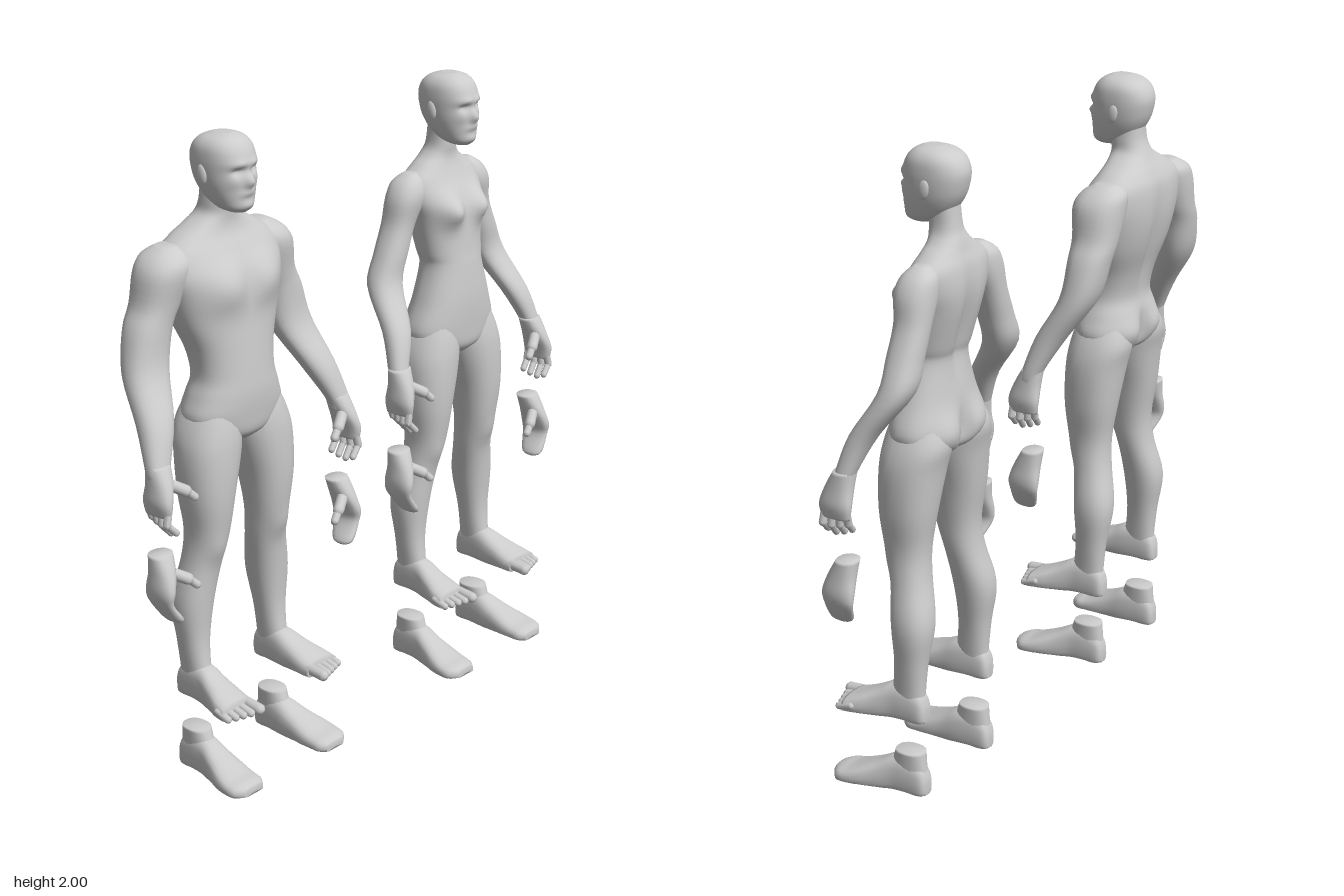
import * as THREE from 'three';

const material = new THREE.MeshStandardMaterial({ color: 0xcccccc });

// Catmull-Rom blend of one column of the section table
const blend = (a, b, c, d, t) =>
  0.5 * (2 * b + (c - a) * t + (2 * a - 5 * b + 4 * c - d) * t * t + (3 * b - a - 3 * c + d) * t * t * t);

// Swells [x, y, width, height, depth, side] raise the front (+1) or back (-1), on both halves
function swell(x, y, sin, swells) {
  let dz = 0;
  for (const [bx, by, sx, sy, h, side] of swells) {
    const w = Math.max(0, side * sin);
    dz += side * h * Math.sqrt(w) * Math.exp(-(((Math.abs(x) - bx) / sx) ** 2) - ((y - by) / sy) ** 2);
  }
  return dz;
}

// Skin over sections [axis, x0, x1, z0, z1], lowest first; lying lofts run along z
function loft(rows, { segs = 24, sub = 4, power = 2.3, swells = [], lying = false } = {}) {
  const pos = [], idx = [], last = rows.length - 1, rings = last * sub + 1;
  const put = (x, a, z) => (lying ? pos.push(x, Math.max(0, z), a) : pos.push(x, a, z));
  const round = (v) => Math.sign(v) * Math.abs(v) ** (2 / power);
  const centres = [];
  for (let j = 0; j < rings; j++) {
    const k = Math.min(Math.floor(j / sub), last - 1), t = j / sub - k;
    const at = (i) => rows[Math.min(last, Math.max(0, i))];
    const [a, x0, x1, z0, z1] = rows[0].map((_, c) => blend(at(k - 1)[c], at(k)[c], at(k + 1)[c], at(k + 2)[c], t));
    centres.push([(x0 + x1) / 2, a, (z0 + z1) / 2]);
    for (let i = 0; i < segs; i++) {
      const th = (i / segs) * Math.PI * 2, s = Math.sin(th);
      const x = (x0 + x1) / 2 + ((x1 - x0) / 2) * round(Math.cos(th));
      put(x, a, (z0 + z1) / 2 + ((z1 - z0) / 2) * round(s) + swell(x, a, s, swells));
    }
  }
  put(...centres[0]);
  put(...centres[rings - 1]);
  const tri = (a, b, c) => (lying ? idx.push(a, c, b) : idx.push(a, b, c));
  for (let i = 0; i < segs; i++) {
    const n = (i + 1) % segs, top = (rings - 1) * segs;
    for (let j = 0; j < rings - 1; j++) {
      const o = j * segs;
      tri(o + i, o + segs + i, o + n);
      tri(o + n, o + segs + i, o + segs + n);
    }
    tri(rings * segs, i, n);
    tri(rings * segs + 1, top + n, top + i);
  }
  const g = new THREE.BufferGeometry();
  g.setAttribute('position', new THREE.Float32BufferAttribute(pos, 3));
  g.setIndex(idx);
  g.computeVertexNormals();
  return g;
}

// Rounded rod between two points
function rod(a, b, r) {
  const p = new THREE.Vector3(...a), q = new THREE.Vector3(...b), d = q.clone().sub(p);
  const g = new THREE.CapsuleGeometry(r, d.length(), 4, 10);
  g.applyQuaternion(new THREE.Quaternion().setFromUnitVectors(new THREE.Vector3(0, 1, 0), d.normalize()));
  return g.translate(...p.add(q).multiplyScalar(0.5).toArray());
}

function mirrored(geo) {
  const g = geo.clone().scale(-1, 1, 1), ix = g.index;
  for (let i = 0; i < ix.count; i += 3) {
    const b = ix.getX(i + 1);
    ix.setX(i + 1, ix.getX(i + 2));
    ix.setX(i + 2, b);
  }
  g.computeVertexNormals();
  return g;
}

function add(group, name, geo) {
  const mesh = new THREE.Mesh(geo, material);
  mesh.name = name;
  group.add(mesh);
}
function addPair(group, name, geo) {
  add(group, 'left' + name, geo);
  add(group, 'right' + name, mirrored(geo));
}
const symmetric = (rows) => rows.map(([y, r, zb, zf]) => [y, -r, r, zb, zf]);

function addHead(group, w) {
  const skull = symmetric([
    [1.772, 0.025, -0.04, 0.025], [1.785, 0.048, -0.07, 0.038], [1.81, 0.063, -0.11, 0.042],
    [1.85, 0.076, -0.14, 0.043], [1.89, 0.082, -0.155, 0.042], [1.93, 0.083, -0.16, 0.042],
    [1.965, 0.077, -0.147, 0.028], [1.988, 0.058, -0.12, 0.005], [2.0, 0.025, -0.08, -0.025],
  ]);
  const face = [
    [0.03, 1.918, 0.03, 0.012, 0.008, 1], [0.033, 1.899, 0.017, 0.011, -0.014, 1],
    [0, 1.868, 0.013, 0.022, 0.026, 1], [0, 1.832, 0.025, 0.009, 0.007, 1],
    [0, 1.795, 0.026, 0.014, 0.006, 1], [0.045, 1.868, 0.02, 0.018, 0.005, 1],
  ];
  add(group, 'head', loft(skull, { segs: 48, sub: 6, swells: face }).scale(w, 1, 1));
  const ear = new THREE.SphereGeometry(1, 12, 8).scale(0.009, 0.03, 0.018).rotateX(-0.2);
  addPair(group, 'Ear', ear.translate(0.082 * w, 1.885, -0.065));
}

// Hands: palm, thumb, and either four fingers or one joined mitten
function addHand(group, dx, dy, mitten) {
  const name = mitten ? 'SpareHand' : 'Hand';
  const place = (g) => g.translate(dx, dy, 0);
  const rows = [
    [0.96, 0.397, 0.43, 0.005, 0.105], [1.0, 0.39, 0.438, 0.0, 0.11],
    [1.05, 0.368, 0.433, 0.003, 0.095], [1.105, 0.352, 0.428, 0.0, 0.066],
  ];
  if (mitten) rows.unshift([0.89, 0.365, 0.38, 0.05, 0.085], [0.905, 0.36, 0.4, 0.03, 0.108]);
  addPair(group, name + 'Palm', place(loft(rows, { segs: 16 })));
  addPair(group, name + 'ThumbBase', place(rod([0.385, 1.05, 0.065], [0.335, 1.02, 0.09], 0.018)));
  addPair(group, name + 'ThumbTip', place(rod([0.335, 1.02, 0.09], [0.308, 0.995, 0.098], 0.013)));
  if (mitten) return;
  [0.016, 0.006, 0, 0.008].forEach((short, i) => {
    const z = 0.016 + i * 0.026, knuckle = [0.412 + (i - 1.5) * 0.006, 0.935 + short / 2, z + 0.003];
    addPair(group, 'FingerBase' + i, place(rod([0.413, 0.975, z], knuckle, 0.0125)));
    addPair(group, 'FingerTip' + i, place(rod(knuckle, [0.378 + i * 0.004, 0.9 + short, z + 0.008], 0.0105)));
  });
}

// Feet: sole and instep, with either five toes or a joined toe cap
function addFoot(group, dy, joined) {
  const name = joined ? 'SpareFoot' : 'Foot';
  const place = (g) => g.translate(0, dy, 0);
  const rows = [
    [-0.115, 0.155, 0.19, 0.0, 0.045], [-0.1, 0.142, 0.205, -0.02, 0.09], [-0.05, 0.135, 0.212, -0.02, 0.115],
    [0, 0.13, 0.218, -0.02, 0.11], [0.05, 0.128, 0.234, -0.02, 0.085], [0.1, 0.125, 0.252, -0.02, 0.062],
    [0.145, 0.126, 0.26, -0.015, 0.044],
  ];
  if (joined) rows.push([0.18, 0.13, 0.255, -0.015, 0.036], [0.205, 0.15, 0.225, -0.01, 0.026]);
  addPair(group, name + 'Sole', place(loft(rows, { segs: 20, power: 2.6, lying: true })));
  if (joined) {
    const stump = [[0.04, 0.14, 0.207, -0.112, 0.03], [0.09, 0.138, 0.208, -0.107, 0.012], [0.14, 0.136, 0.21, -0.102, -0.005]];
    addPair(group, 'SpareFootAnkle', place(loft(stump, { segs: 20 })));
    return;
  }
  for (let i = 0; i < 5; i++) {
    const r = i ? 0.0135 - i * 0.0004 : 0.018, x = i ? 0.15 + i * 0.025 : 0.146;
    addPair(group, 'Toe' + i, place(rod([x, 0.024, 0.13 - i * 0.004], [x, r, 0.19 - i * 0.008], r)));
  }
}

const LEG = [
  [0.29, 0.14, 0.207, -0.108, 0.02], [0.335, 0.136, 0.208, -0.104, 0.004], [0.44, 0.125, 0.218, -0.112, -0.008],
  [0.57, 0.102, 0.23, -0.13, 0.0], [0.7, 0.079, 0.205, -0.105, 0.015], [0.8, 0.068, 0.196, -0.1, 0.042],
  [0.92, 0.048, 0.21, -0.118, 0.058], [1.05, 0.015, 0.211, -0.135, 0.06], [1.13, 0.008, 0.192, -0.15, 0.052],
  [1.2, 0.03, 0.155, -0.13, 0.035],
];

function figure(name, x, { torso, arm, swells, headWidth, handShift }) {
  const g = new THREE.Group();
  g.name = name;
  g.position.x = x;
  addHead(g, headWidth);
  add(g, 'torso', loft(symmetric(torso), { segs: 56, sub: 5, swells }));
  addPair(g, 'Arm', loft(arm));
  addPair(g, 'Leg', loft(LEG, { swells: [[0.14, 0.74, 0.035, 0.04, 0.01, 1]] }));
  addHand(g, handShift, 0, false);
  addHand(g, handShift, -0.28, true);
  addFoot(g, 0.25, false);
  addFoot(g, 0, true);
  return g;
}

export function createModel() {
  const model = new THREE.Group();
  model.name = 'figurePair';
  const back = [[0, 1.48, 0.025, 0.16, -0.02, -1], [0, 1.15, 0.02, 0.06, -0.03, -1], [0.085, 1.16, 0.06, 0.055, 0.018, -1]];
  // Broad figure
  model.add(figure('maleFigure', -0.505, {
    headWidth: 1, handShift: 0,
    torso: [
      [1.07, 0.03, -0.08, 0.02], [1.1, 0.13, -0.13, 0.05], [1.155, 0.178, -0.148, 0.06], [1.22, 0.16, -0.145, 0.065],
      [1.28, 0.14, -0.135, 0.062], [1.36, 0.15, -0.15, 0.055], [1.45, 0.185, -0.18, 0.047], [1.53, 0.208, -0.198, 0.044],
      [1.6, 0.225, -0.203, 0.03], [1.66, 0.215, -0.198, 0.0], [1.7, 0.165, -0.182, -0.022], [1.73, 0.11, -0.165, -0.03],
      [1.76, 0.065, -0.15, -0.03], [1.8, 0.056, -0.135, -0.026], [1.86, 0.052, -0.13, -0.03],
    ],
    arm: [
      [1.06, 0.362, 0.43, 0.008, 0.074], [1.1, 0.35, 0.43, 0.0, 0.066], [1.21, 0.292, 0.41, -0.06, 0.035],
      [1.34, 0.235, 0.385, -0.145, -0.03], [1.46, 0.205, 0.353, -0.172, -0.04], [1.53, 0.17, 0.318, -0.18, -0.035],
      [1.62, 0.13, 0.3, -0.185, -0.02], [1.665, 0.13, 0.268, -0.178, -0.038], [1.692, 0.16, 0.22, -0.14, -0.08],
    ],
    swells: [...back, [0.09, 1.56, 0.075, 0.065, 0.022, 1], [0, 1.56, 0.012, 0.07, -0.008, 1]],
  }));
  // Slender figure
  model.add(figure('femaleFigure', 0.54, {
    headWidth: 0.95, handShift: -0.043,
    torso: [
      [1.07, 0.03, -0.08, 0.02], [1.1, 0.13, -0.135, 0.048], [1.155, 0.185, -0.148, 0.055], [1.26, 0.15, -0.135, 0.057],
      [1.37, 0.115, -0.125, 0.047], [1.42, 0.12, -0.138, 0.04], [1.53, 0.137, -0.168, 0.028], [1.6, 0.158, -0.176, 0.01],
      [1.66, 0.158, -0.17, -0.02], [1.7, 0.11, -0.157, -0.037], [1.73, 0.068, -0.148, -0.043], [1.77, 0.046, -0.135, -0.04],
      [1.86, 0.044, -0.125, -0.04],
    ],
    arm: [
      [1.06, 0.322, 0.385, 0.01, 0.068], [1.1, 0.314, 0.382, 0.0, 0.06], [1.21, 0.26, 0.36, -0.05, 0.03],
      [1.34, 0.208, 0.33, -0.145, -0.045], [1.44, 0.174, 0.286, -0.155, -0.05], [1.53, 0.14, 0.247, -0.157, -0.05],
      [1.61, 0.1, 0.232, -0.158, -0.037], [1.66, 0.1, 0.203, -0.15, -0.05], [1.688, 0.12, 0.16, -0.12, -0.08],
    ],
    swells: [...back, [0.072, 1.56, 0.044, 0.045, 0.045, 1]],
  }));
  return model;
}
